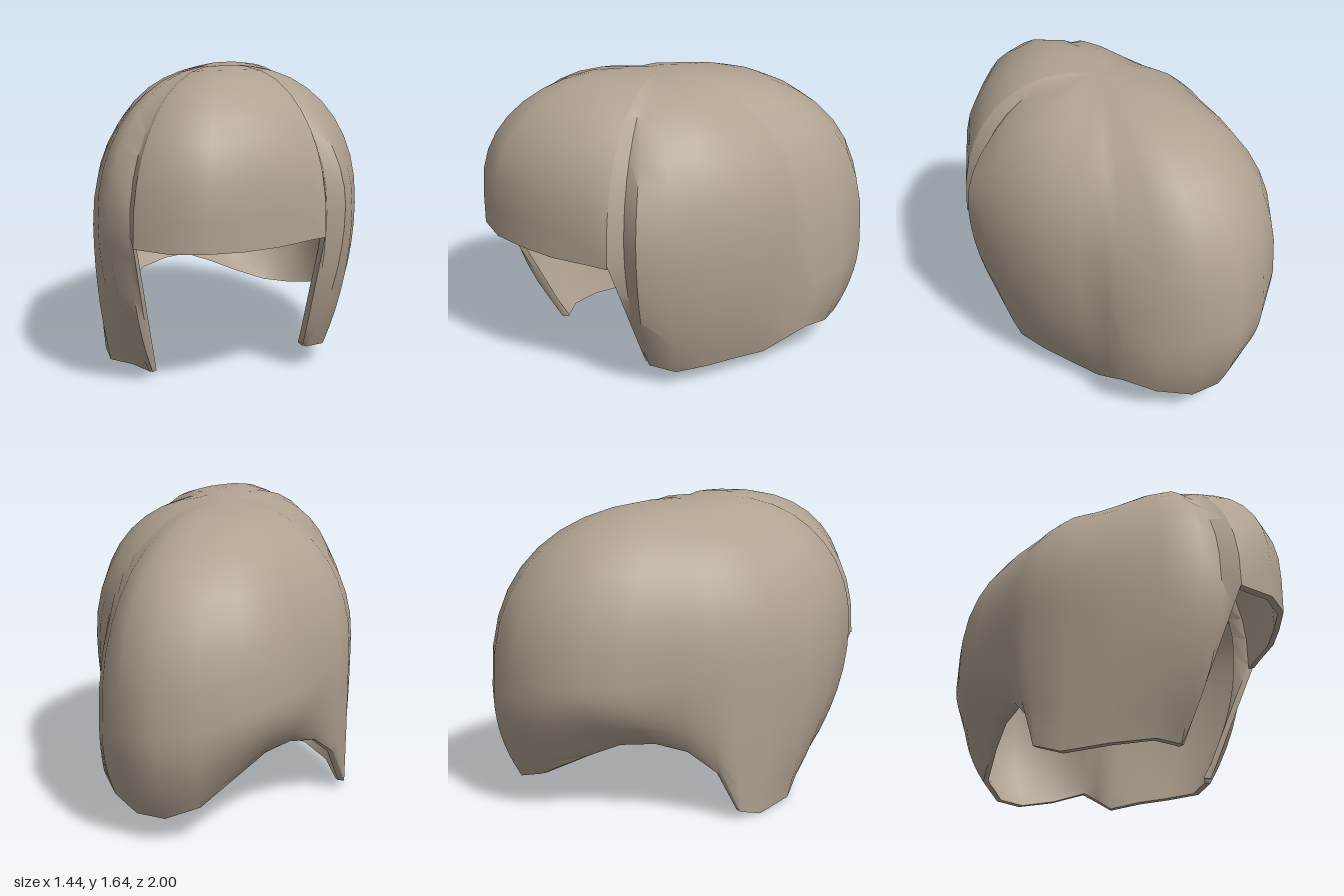
import * as THREE from 'three';
import { toCreasedNormals } from 'three/addons/utils/BufferGeometryUtils.js';

const CROWN = new THREE.Vector3(0, 1.62, 0.1);
const THICKNESS = 0.035, UPPER = 10, LOWER = 7;

// Each strand column: widest point x, y, z, then hem point x, y, z,
// and optionally its own dome fullness.
const LEFT_SIDE = [
  [0.45, 0.83, 0.70, 0.39, 0.15, 0.44], // face opening edge
  [0.47, 0.92, 0.61, 0.39, 0.15, 0.43, 2.1], // groove
  [0.57, 0.95, 0.60, 0.41, 0.13, 0.43, 1.9], // ridge
  [0.64, 0.90, 0.45, 0.52, 0.11, 0.33, 2.05],
  [0.70, 0.88, 0.25, 0.56, 0.11, 0.15],
  [0.72, 0.88, 0.03, 0.58, 0.11, -0.03],
  [0.70, 0.85, -0.18, 0.58, 0.09, -0.21],
  [0.67, 0.80, -0.32, 0.64, 0.17, -0.32],
  [0.71, 0.50, -0.44, 0.69, 0.24, -0.42],
];
const BACK = [
  [0.69, 0.55, -0.65, 0.63, 0.19, -0.60],
  [0.60, 0.62, -0.85, 0.52, 0.15, -0.76],
  [0.43, 0.62, -0.97, 0.38, 0.15, -0.84],
  [0.22, 0.65, -1.00, 0.20, 0.21, -0.85],
  [0.01, 0.72, -0.96, 0.00, 0.32, -0.72],
  [-0.17, 0.75, -0.86, -0.16, 0.40, -0.60],
  [-0.32, 0.75, -0.70, -0.30, 0.41, -0.48],
  [-0.48, 0.80, -0.47, -0.45, 0.38, -0.39],
];
const RIGHT_SIDE = [
  [-0.58, 0.80, -0.36, -0.57, 0.26, -0.28],
  [-0.65, 0.85, -0.23, -0.65, 0.05, -0.20],
  [-0.70, 0.85, 0.00, -0.66, 0.00, -0.05],
  [-0.72, 0.80, 0.25, -0.64, 0.02, 0.20],
  [-0.70, 0.88, 0.50, -0.53, 0.06, 0.40],
  [-0.65, 0.90, 0.69, -0.44, 0.05, 0.50], // ridge
  [-0.55, 0.86, 0.76, -0.43, 0.05, 0.50], // groove
  [-0.54, 0.83, 0.86, -0.43, 0.05, 0.51], // face opening edge
];
const FRINGE = [
  [-0.54, 0.83, 0.86, -0.54, 0.82, 0.86],
  [-0.37, 1.00, 0.98, -0.37, 0.82, 0.98],
  [-0.18, 1.00, 1.00, -0.18, 0.82, 1.00],
  [0.00, 1.00, 0.94, 0.00, 0.81, 0.94],
  [0.18, 1.00, 0.87, 0.18, 0.81, 0.87],
  [0.35, 0.95, 0.76, 0.35, 0.81, 0.76],
  [0.45, 0.83, 0.70, 0.45, 0.81, 0.70],
];

// Rounded dome from the crown to the widest point, then a tuck to the hem.
// The dome is fuller at the front and back than at the sides.
function columnPoints([wx, wy, wz, hx, hy, hz, fullness], tuck) {
  const n = fullness ?? 2.1 + 0.1 * wx + 0.4 * Math.abs(wz);
  const pts = [];
  for (let j = 0; j <= UPPER; j++) {
    const a = (j / UPPER) * Math.PI / 2;
    const r = Math.pow(Math.sin(a), 2 / n);
    const h = Math.pow(Math.max(0, Math.cos(a)), 2 / n);
    const lift = 0.045 * Math.max(0, wz) * Math.sin(Math.PI * Math.min(1, r));
    pts.push(new THREE.Vector3(
      CROWN.x + (wx - CROWN.x) * r,
      wy + (CROWN.y - wy) * h + lift,
      CROWN.z + (wz - CROWN.z) * r));
  }
  for (let j = 1; j <= LOWER; j++) {
    const t = j / LOWER, s = Math.pow(t, tuck);
    pts.push(new THREE.Vector3(wx + (hx - wx) * s, wy + (hy - wy) * t, wz + (hz - wz) * s));
  }
  return pts;
}

// Inner lining point, moved towards the middle of the head.
function inset(p) {
  const d = new THREE.Vector3(p.x, Math.max(0, p.y - 0.6), p.z).normalize();
  return p.clone().addScaledVector(d, -THICKNESS);
}

// Shell with outside, lining, hem and both end edges.
function shell(columns) {
  const last = columns.length - 1;
  const outer = columns.map((c, i) => columnPoints(c, i === 0 || i === last ? 1 : 2));
  const inner = outer.map(col => col.map(inset));
  const rows = UPPER + LOWER;
  const pos = [];
  const tri = (a, b, c) => {
    const area = b.clone().sub(a).cross(c.clone().sub(a)).length();
    if (area > 1e-7) for (const p of [a, b, c]) pos.push(p.x, p.y, p.z);
  };
  const quad = (a, b, c, d) => { tri(a, b, c); tri(a, c, d); };
  for (let i = 0; i < last; i++) {
    for (let j = 0; j < rows; j++) {
      quad(outer[i][j], outer[i][j + 1], outer[i + 1][j + 1], outer[i + 1][j]);
      quad(inner[i + 1][j], inner[i + 1][j + 1], inner[i][j + 1], inner[i][j]);
    }
    quad(outer[i][rows], inner[i][rows], inner[i + 1][rows], outer[i + 1][rows]);
  }
  for (let j = 0; j < rows; j++) {
    quad(inner[0][j], inner[0][j + 1], outer[0][j + 1], outer[0][j]);
    quad(outer[last][j], outer[last][j + 1], inner[last][j + 1], inner[last][j]);
  }
  const geo = new THREE.BufferGeometry();
  geo.setAttribute('position', new THREE.Float32BufferAttribute(pos, 3));
  return toCreasedNormals(geo, 0.8);
}

export function createModel() {
  const group = new THREE.Group();
  group.name = 'bobHair';
  const taupe = new THREE.MeshStandardMaterial({ color: 0xb0a291, side: THREE.DoubleSide });
  taupe.name = 'taupe';
  const add = (name, columns) => {
    const mesh = new THREE.Mesh(shell(columns), taupe);
    mesh.name = name;
    group.add(mesh);
  };
  add('sidesAndBack', [...LEFT_SIDE, ...BACK, ...RIGHT_SIDE]);
  add('fringe', FRINGE);
  return group;
}
